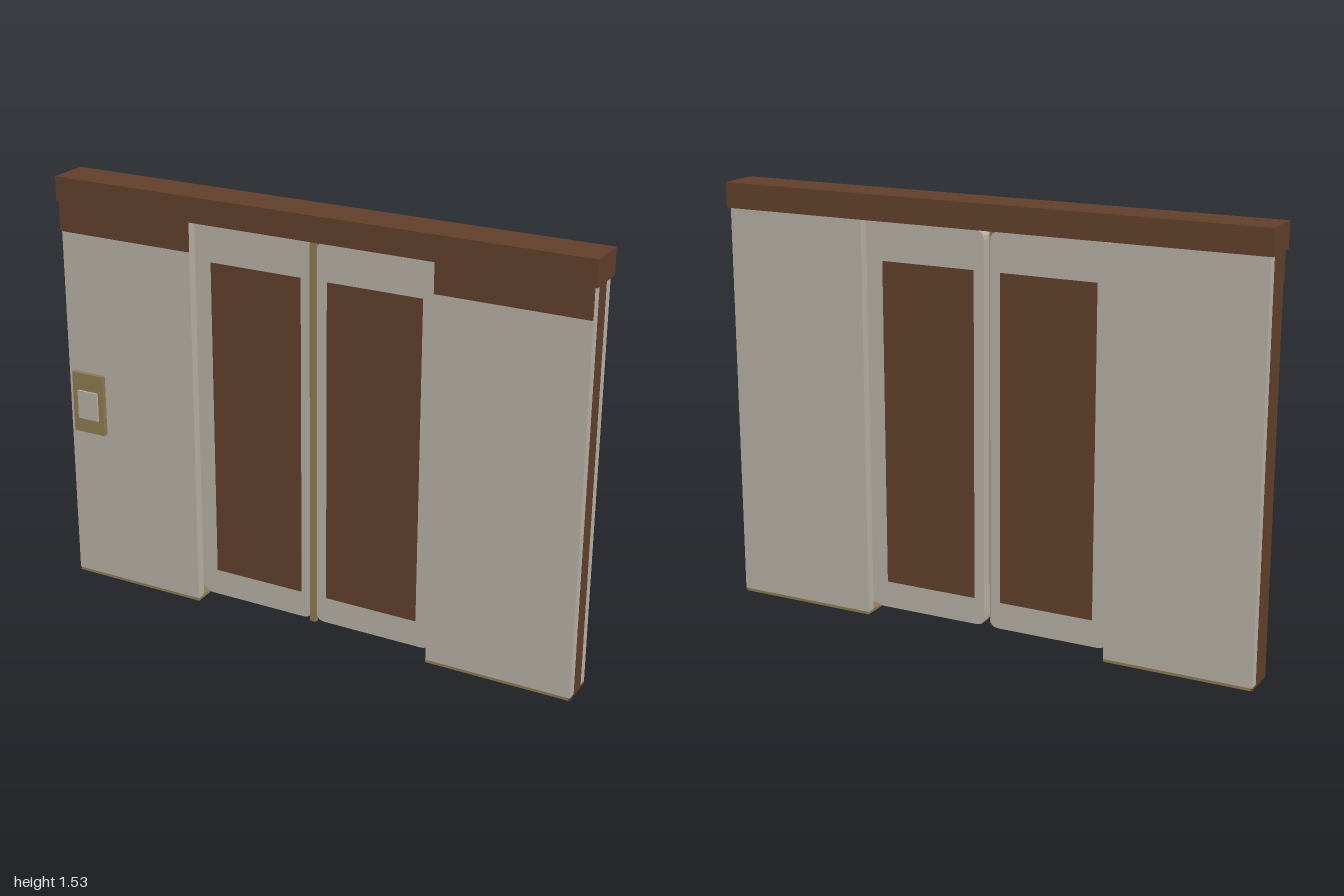
import * as THREE from 'three';

const mat = (name, color) => {
  const m = new THREE.MeshStandardMaterial({ color });
  m.name = name;
  return m;
};

export function createModel() {
  const model = new THREE.Group();
  model.name = 'slidingDoor';
  const beige = mat('beige panel', 0xb8b1a5);
  const brown = mat('dark brown', 0x62402b);
  const tan = mat('brass tan', 0x8e7a50);

  // Box given by its extents on each axis
  const box = (name, m, [x0, x1], [y0, y1], [z0, z1], parent = model) => {
    const mesh = new THREE.Mesh(new THREE.BoxGeometry(x1 - x0, y1 - y0, z1 - z0), m);
    mesh.position.set((x0 + x1) / 2, (y0 + y1) / 2, (z0 + z1) / 2);
    mesh.name = name;
    parent.add(mesh);
    return mesh;
  };
  // x range mirrored to the requested side
  const span = (s, a, b) => (s > 0 ? [a, b] : [-b, -a]);

  // Header beam
  box('header', brown, [-1, 1], [1.44, 1.53], [-0.085, 0.065]);

  // Rounded leaf outline
  const x0 = 0.012, x1 = 0.452, y0 = 0.027, y1 = 1.43, r = 0.03;
  const outline = new THREE.Shape();
  outline.moveTo(x0 + r, y0);
  outline.lineTo(x1 - r, y0);
  outline.quadraticCurveTo(x1, y0, x1, y0 + r);
  outline.lineTo(x1, y1 - r);
  outline.quadraticCurveTo(x1, y1, x1 - r, y1);
  outline.lineTo(x0 + r, y1);
  outline.quadraticCurveTo(x0, y1, x0, y1 - r);
  outline.lineTo(x0, y0 + r);
  outline.quadraticCurveTo(x0, y0, x0 + r, y0);
  const leafGeometry = new THREE.ExtrudeGeometry(outline, { depth: 0.05, bevelEnabled: false, curveSegments: 4 });

  for (const s of [1, -1]) {
    const side = s > 0 ? 'left' : 'right';

    // Hollow wall pocket: two skins, a closing end post and a floor
    const wall = new THREE.Group();
    wall.name = side + 'WallPocket';
    model.add(wall);
    const wx = span(s, 0.46, 0.99);
    box('frontSkin', beige, wx, [0.01, 1.44], [0.02, 0.055], wall);
    box('backSkin', beige, wx, [0.01, 1.44], [-0.075, -0.04], wall);
    box('endPost', brown, span(s, 0.96, 0.991), [0.01, 1.44], [-0.04, s > 0 ? 0.02 : 0.054], wall);
    box('pocketFloor', tan, span(s, 0.46, 0.985), [0, 0.01], [-0.075, 0.055], wall);
    box('floorEnd', brown, span(s, 0.985, 0.99), [0, 0.01], [-0.075, 0.055], wall);
    box('headerApron', brown, wx, [1.335, 1.44], [0.055, 0.065], wall);

    // Sliding leaf with a window on both faces
    const door = new THREE.Group();
    door.name = side + 'Door';
    model.add(door);
    const leaf = new THREE.Mesh(leafGeometry, beige);
    leaf.name = 'leaf';
    leaf.position.set(s > 0 ? 0 : -(x0 + x1), 0, -0.035);
    if (s < 0) leaf.position.x = -(x0 + x1);
    door.add(leaf);
    box('window', brown, span(s, 0.05, 0.4), [0.125, 1.295], [-0.037, 0.017], door);
  }

  // Meeting strip on the front between the leaves
  box('centreStrip', tan, [-0.012, 0.012], [0.022, 1.432], [0.008, 0.022]);

  // Wall control panel
  const panel = new THREE.Group();
  panel.name = 'controlPanel';
  model.add(panel);
  box('panelPlate', tan, [-0.96, -0.83], [0.59, 0.818], [0.064, 0.082], panel);
  box('panelScreen', beige, [-0.935, -0.852], [0.645, 0.752], [0.082, 0.09], panel);

  return model;
}
